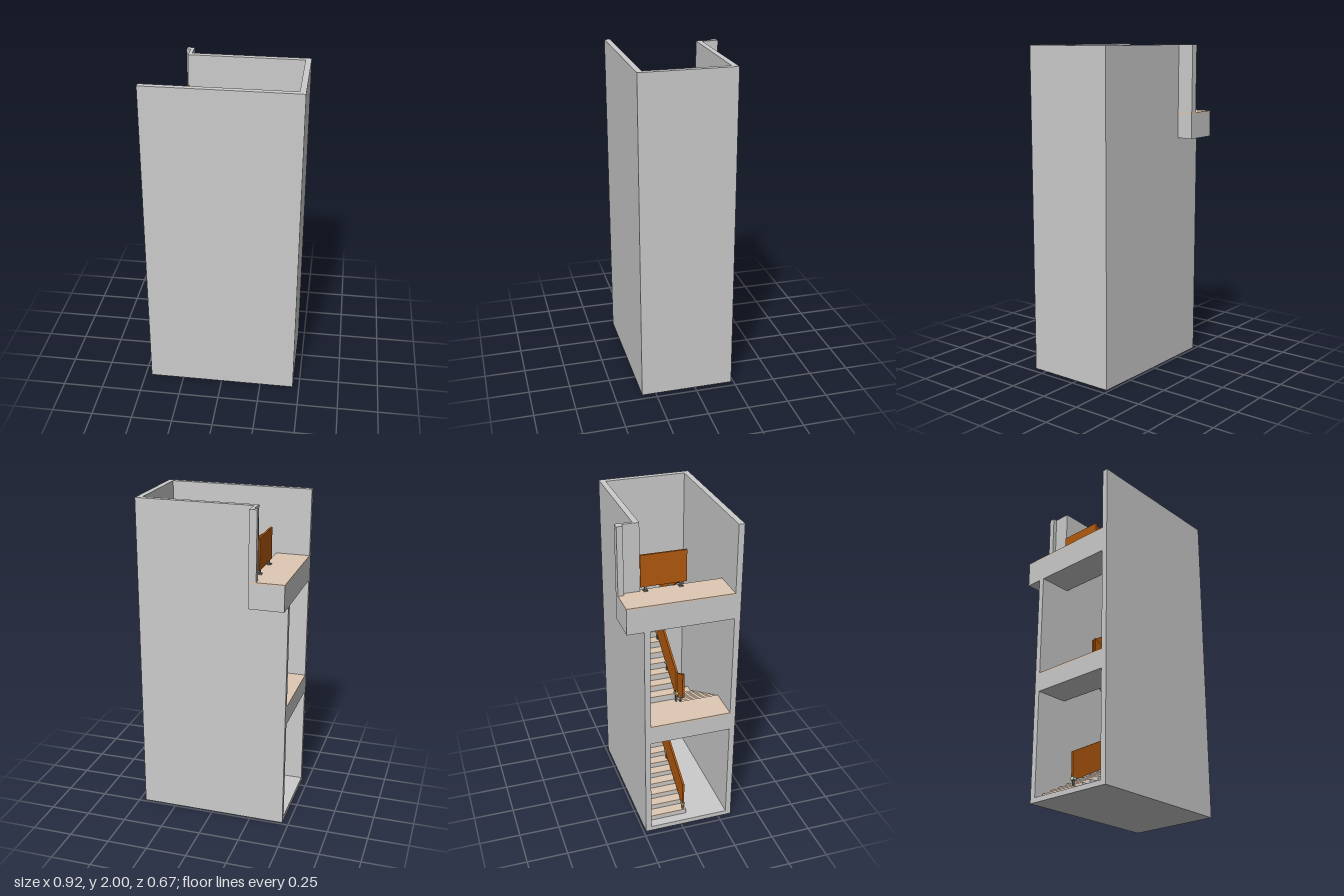
import * as THREE from 'three';

const mat = (color) => new THREE.MeshStandardMaterial({ color, flatShading: true });
const concrete = mat(0xcccccc);
const tile = mat(0xdec8b3);
const wood = mat(0xb35a0f);
const glassFitting = mat(0xbfe3e0);
const steel = mat(0x77736c);

const FINISH = 0.01; // thickness of floor and tread covering
const WAIST = 0.08; // depth of the stair body under each tread

export function createModel() {
  const model = new THREE.Group();
  model.name = 'stairwell';

  const add = (parent, name, geometry, material) => {
    const mesh = new THREE.Mesh(geometry, material);
    mesh.name = name;
    parent.add(mesh);
    return mesh;
  };
  // Box given by its lower and upper limits on each axis
  const box = (parent, name, material, x0, x1, y0, y1, z0, z1) => {
    const g = new THREE.BoxGeometry(x1 - x0, y1 - y0, z1 - z0);
    g.translate((x0 + x1) / 2, (y0 + y1) / 2, (z0 + z1) / 2);
    return add(parent, name, g, material);
  };
  const shapeOf = (pts) => new THREE.Shape(pts.map(([a, b]) => new THREE.Vector2(a, b)));
  // Side profile (x, y) extruded from z0 to z1
  const profile = (parent, name, material, pts, z0, z1) => {
    const g = new THREE.ExtrudeGeometry(shapeOf(pts), { depth: z1 - z0, bevelEnabled: false });
    g.translate(0, 0, z0);
    return add(parent, name, g, material);
  };
  // Plan outline (x, z) extruded from y0 to y1
  const plan = (parent, name, material, pts, y0, y1) => {
    const outline = shapeOf(pts.map(([x, z]) => [x, -z]));
    const g = new THREE.ExtrudeGeometry(outline, { depth: y1 - y0, bevelEnabled: false });
    g.rotateX(-Math.PI / 2);
    g.translate(0, y0, 0);
    return add(parent, name, g, material);
  };

  // Enclosing walls, open on the landing side
  const walls = new THREE.Group();
  walls.name = 'walls';
  model.add(walls);
  box(walls, 'frontWall', concrete, -0.46, 0.46, 0, 2, 0.3, 0.335);
  box(walls, 'sideWall', concrete, 0.425, 0.46, 0, 2, -0.235, 0.3);
  box(walls, 'lowerBackWall', concrete, -0.46, 0.425, 0, 1.43, -0.235, -0.2);
  box(walls, 'upperBackWall', concrete, -0.25, 0.425, 1.43, 2, -0.235, -0.2);
  plan(walls, 'doorJamb', concrete, [
    [-0.25, -0.2], [-0.27, -0.2], [-0.27, -0.3], [-0.295, -0.3], [-0.295, -0.335], [-0.25, -0.335],
  ], 1.59, 2);

  // Floors and landings
  box(model, 'groundSlab', concrete, -0.46, 0.425, 0, 0.03, -0.2, 0.3);
  const landing = (name, y0, y1, zBack) => {
    box(model, name + 'Slab', concrete, -0.46, -0.25, y0, y1 - FINISH, zBack, 0.3);
    box(model, name + 'Floor', tile, -0.46, -0.25, y1 - FINISH, y1, zBack, 0.3);
  };
  landing('middleLanding', 0.67, 0.79, -0.2);
  landing('topLanding', 1.43, 1.59, -0.335);
  box(model, 'middleLandingNosing', tile, -0.25, -0.213, 0.71, 0.79, -0.2, 0.05);

  // Winder steps turning about the inner corner
  const P = [0.185, 0.045];
  const winders = [
    [[0.163, 0.05], [0.163, -0.2], [0.29, -0.2], P],
    [P, [0.29, -0.2], [0.425, -0.2], [0.425, -0.08]],
    [P, [0.425, -0.08], [0.425, 0.043]],
    [P, [0.425, 0.043], [0.425, 0.165]],
    [P, [0.425, 0.165], [0.425, 0.3], [0.3, 0.3]],
    [P, [0.3, 0.3], [0.185, 0.3]],
  ];

  const GO = 0.0627; // depth of a straight tread

  // Sloping balustrade panel: yA at xA, yB at xB, on small clamps
  const balustrade = (parent, name, xA, yA, xB, yB, z, clampXs) => {
    profile(parent, name + 'Panel', wood, [
      [xA, yA + 0.027], [xB, yB + 0.027], [xB, yB + 0.2], [xA, yA + 0.2],
    ], z - 0.006, z + 0.006);
    for (const x of clampXs) {
      const y = yA + ((yB - yA) * (x - xA)) / (xB - xA);
      box(parent, name + 'Post', steel, x - 0.005, x + 0.005, y - 0.035, y + 0.04, z - 0.004, z + 0.004);
      box(parent, name + 'Clamp', glassFitting, x - 0.012, x + 0.012, y + 0.03, y + 0.045, z - 0.011, z + 0.011);
    }
  };

  // One storey of stairs: up along the back, round the winders, back along the front
  const storey = (name, base, top, straight) => {
    const stair = new THREE.Group();
    stair.name = name;
    model.add(stair);
    const risers = straight + 14;
    const r = (top - base) / risers;
    let y = base;

    const straightStep = (x0, x1, z0, z1) => {
      const under = (x, lift) => [x, Math.max(0.005, y - WAIST + lift)];
      profile(stair, 'stepBody', concrete, [
        [x0, y - FINISH], under(x0, 0), under(x1, r), [x1, y - FINISH],
      ], z0, z1);
      box(stair, 'tread', tile, Math.min(x0, x1), Math.max(x0, x1), y - FINISH, y, z0, z1);
    };

    const xStart = 0.163 - straight * GO;
    for (let i = 0; i < straight; i++) {
      y += r;
      straightStep(xStart + i * GO, xStart + (i + 1) * GO, -0.2, 0.05);
    }
    for (const outline of winders) {
      y += r;
      plan(stair, 'winderBody', concrete, outline, Math.max(0.005, y - WAIST), y - FINISH);
      plan(stair, 'winderTread', tile, outline, y - FINISH, y);
    }
    const goFront = (0.185 + 0.25) / 7;
    for (let i = 0; i < 7; i++) {
      y += r;
      straightStep(0.185 - i * goFront, 0.185 - (i + 1) * goFront, 0.05, 0.3);
    }

    // Balustrades on the inner edges of both flights
    const noseBack = (x) => base + r + ((x - xStart) / GO) * r;
    const xRail = Math.min(xStart, -0.25);
    balustrade(stair, 'backBalustrade', xRail, noseBack(xRail), 0.185, noseBack(0.185), 0.031,
      [xRail + 0.012, -0.06, 0.13]);
    balustrade(stair, 'frontBalustrade', 0.185, top - 7 * r, -0.27, top + 0.2 * r, 0.068,
      [0.155, -0.03, -0.22]);
  };
  storey('lowerStair', 0.03, 0.79, 9);
  storey('upperStair', 0.79, 1.59, 6);

  // Guard across the stair opening on the top landing
  const guard = new THREE.Group();
  guard.name = 'landingGuard';
  model.add(guard);
  box(guard, 'guardPanel', wood, -0.278, -0.266, 1.617, 1.81, -0.2, 0.074);
  for (const z of [-0.17, 0.04]) {
    box(guard, 'guardPost', steel, -0.276, -0.268, 1.59, 1.64, z - 0.005, z + 0.005);
    box(guard, 'guardFoot', steel, -0.285, -0.259, 1.59, 1.597, z - 0.012, z + 0.012);
    const arm = add(guard, 'guardBracket', new THREE.BoxGeometry(0.034, 0.008, 0.006), steel);
    arm.position.set(-0.257, 1.625, z + (z < 0 ? -0.014 : 0.012));
    arm.rotation.y = z < 0 ? Math.PI / 4 : -Math.PI / 4;
  }

  return model;
}
